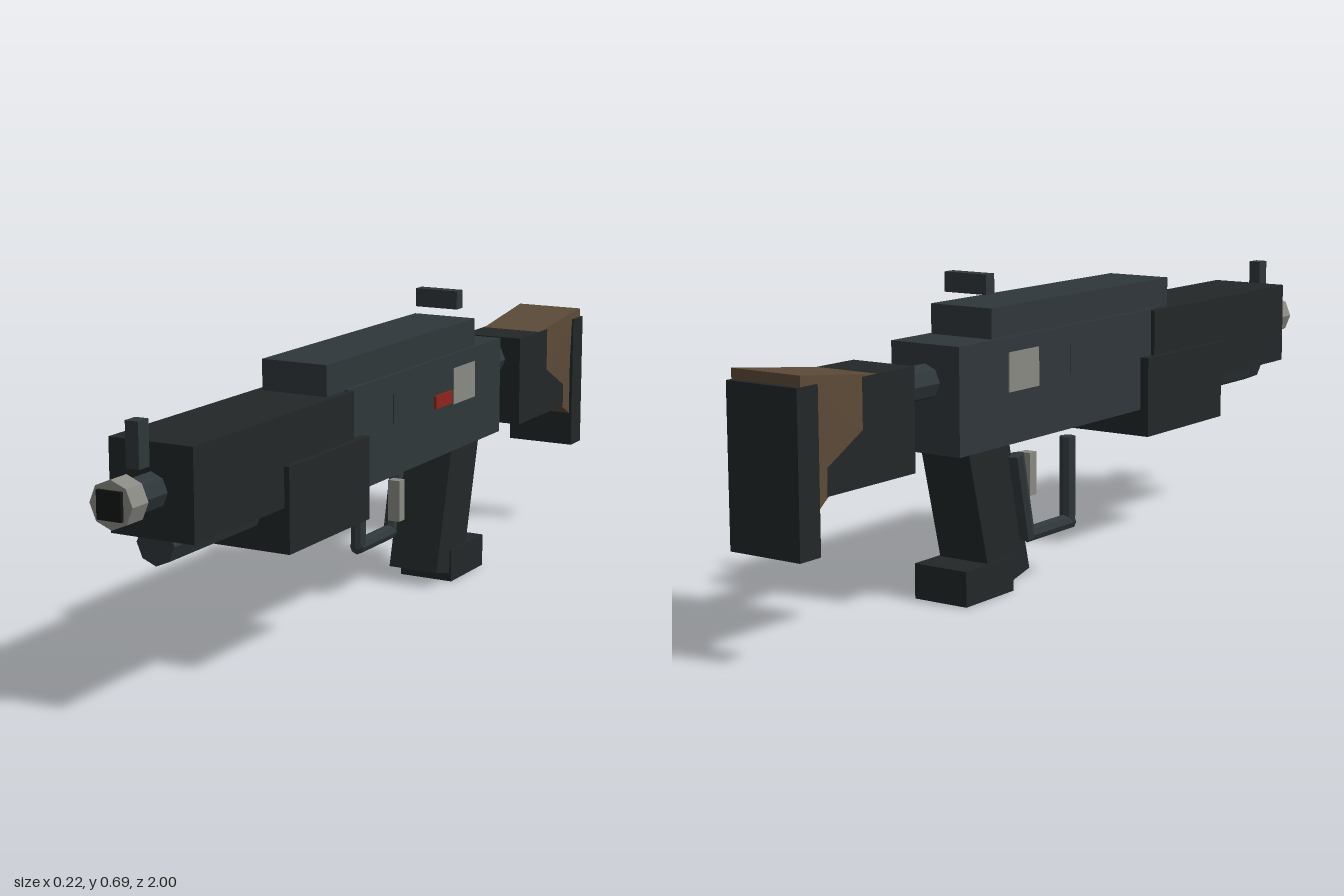
import * as THREE from 'three';

const mat = (color) => new THREE.MeshStandardMaterial({ color, flatShading: true });

export function createModel() {
  const model = new THREE.Group();
  const dark = mat(0x222727), slate = mat(0x2f373a), wood = mat(0x5c4a38);
  const steel = mat(0x8a8a84), red = mat(0x8f231c), black = mat(0x151818);

  const add = (name, geometry, material) => {
    const mesh = new THREE.Mesh(geometry, material);
    mesh.name = name;
    model.add(mesh);
    return mesh;
  };
  // Box from its half width and its y and z ranges, centred on x unless shifted
  const box = (name, material, halfX, y0, y1, z0, z1, x = 0) => {
    const mesh = add(name, new THREE.BoxGeometry(halfX * 2, y1 - y0, z1 - z0), material);
    mesh.position.set(x, (y0 + y1) / 2, (z0 + z1) / 2);
    return mesh;
  };
  // Eight-sided rod between two points
  const rod = (name, material, radius, a, b) => {
    const from = new THREE.Vector3(...a), to = new THREE.Vector3(...b);
    const dir = to.clone().sub(from);
    const mesh = add(name, new THREE.CylinderGeometry(radius, radius, dir.length(), 8), material);
    mesh.position.copy(from).add(to).multiplyScalar(0.5);
    mesh.quaternion.setFromUnitVectors(new THREE.Vector3(0, 1, 0), dir.normalize());
    return mesh;
  };

  // Body
  box('receiver', slate, 0.088, 0.33, 0.56, -0.5, 0.25);
  box('topCover', slate, 0.079, 0.55, 0.625, -0.375, 0.325);
  box('handguard', dark, 0.097, 0.365, 0.557, 0.24, 0.86);
  box('pump', dark, 0.109, 0.268, 0.452, 0.195, 0.53);

  // Barrel, lower tube and muzzle
  rod('barrel', slate, 0.038, [0, 0.461, 0.8], [0, 0.461, 0.96]);
  rod('lowerTube', slate, 0.044, [0, 0.352, 0.145], [0, 0.352, 0.85]);
  rod('muzzleRing', steel, 0.049, [0, 0.461, 0.94], [0, 0.461, 0.992]);
  box('muzzleBore', black, 0.028, 0.432, 0.49, 0.96, 1);

  // Sights
  box('frontSight', slate, 0.015, 0.515, 0.608, 0.885, 0.92);
  box('rearSight', slate, 0.054, 0.65, 0.693, -0.36, -0.33);

  // Side plates, with a red selector on the left only
  for (const s of [1, -1]) {
    box('sidePanel', slate, 0.001, 0.455, 0.52, -0.11, 0.065, s * 0.098);
    box('ejectionPlate', steel, 0.001, 0.445, 0.53, -0.34, -0.23, s * 0.098);
  }
  box('selector', red, 0.008, 0.447, 0.477, -0.232, -0.15, 0.086);

  // Grip leaning back, with its foot
  const grip = box('grip', dark, 0.063, 0.014, 0.374, -0.4, -0.26);
  grip.position.set(0, 0.194, -0.33);
  grip.rotation.x = -0.25;
  box('gripBase', dark, 0.068, 0, 0.077, -0.455, -0.285);

  // Trigger and the guard beside it
  box('trigger', steel, 0.015, 0.178, 0.275, -0.145, -0.12);
  const gx = -0.073;
  rod('guardFront', slate, 0.018, [gx, 0.115, -0.084], [gx, 0.31, -0.084]);
  rod('guardBottom', slate, 0.018, [gx, 0.117, -0.075], [gx, 0.117, -0.24]);
  rod('guardRear', slate, 0.018, [gx, 0.11, -0.24], [gx, 0.3, -0.282]);

  // Stock
  rod('stockTube', slate, 0.038, [0, 0.481, -0.48], [0, 0.481, -0.65]);
  box('stockBlock', dark, 0.078, 0.32, 0.537, -0.905, -0.635);
  box('buttPlate', dark, 0.088, 0.21, 0.543, -1, -0.94);

  // Wooden wedge, its profile drawn in z and y and extruded across x
  const profile = new THREE.Shape([
    [-0.75, 0.537], [-0.987, 0.565], [-0.987, 0.265], [-0.9, 0.32], [-0.75, 0.4],
  ].map(([z, y]) => new THREE.Vector2(-z, y)));
  const wedge = new THREE.ExtrudeGeometry(profile, { depth: 0.152, bevelEnabled: false });
  wedge.translate(0, 0, -0.076).rotateY(Math.PI / 2);
  // Flare toward the butt
  const p = wedge.attributes.position;
  for (let i = 0; i < p.count; i++) if (p.getZ(i) < -0.95) p.setX(i, p.getX(i) * 1.13);
  add('stockWedge', wedge, wood);

  return model;
}
